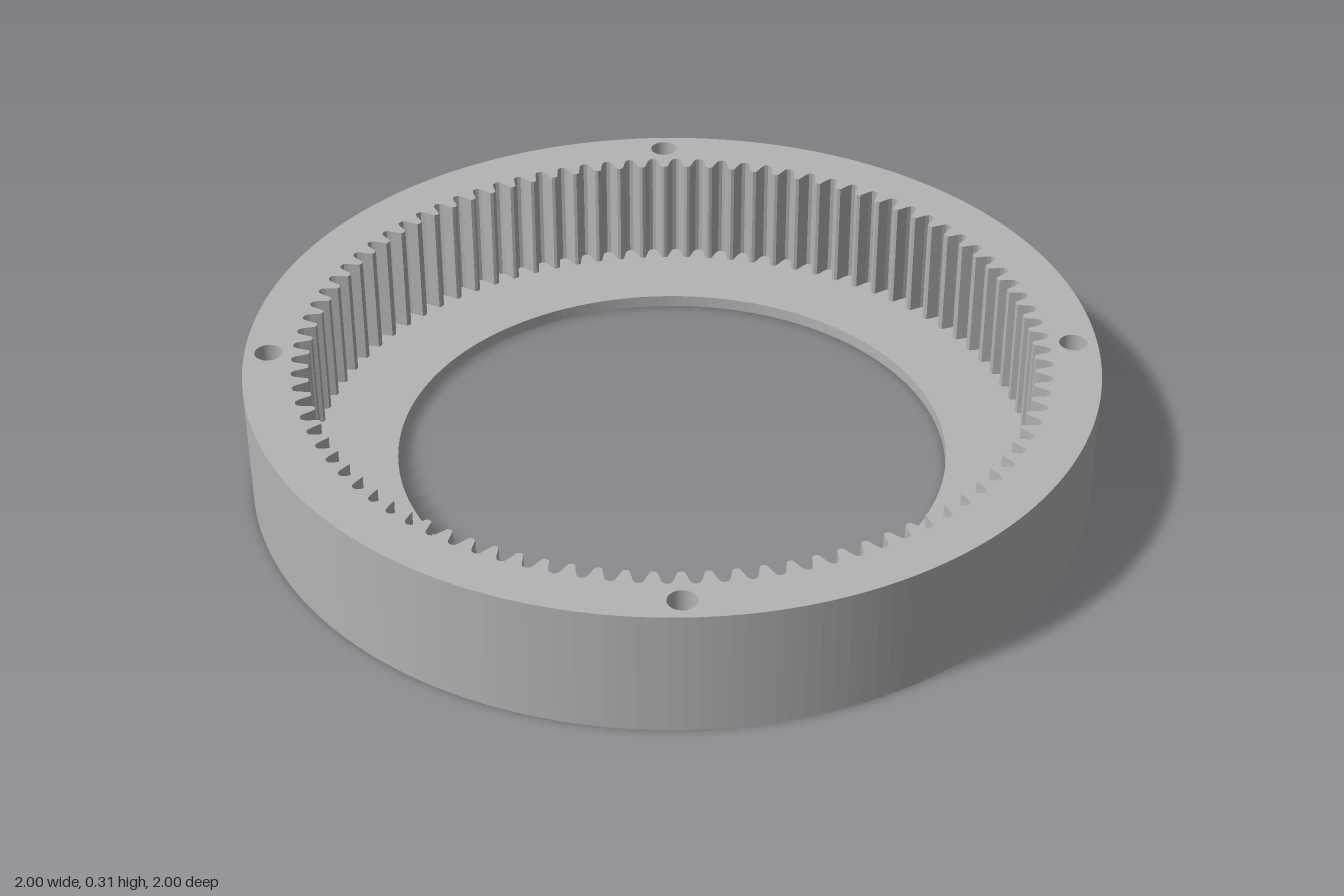
import * as THREE from 'three';

const HEIGHT = 0.305, FLOOR = 0.03;
const OUTER = 1, BORE = 0.655;
const TEETH = 92, TIP = 0.847, ROOT = 0.889;

// Closed circular path
function circle(PathType, x, y, r) {
  const p = new PathType();
  p.absarc(x, y, r, 0, Math.PI * 2, false);
  return p;
}

// Disc outline with the four bolt holes
function drilledDisc() {
  const shape = circle(THREE.Shape, 0, 0, OUTER);
  for (const sx of [-1, 1])
    for (const sy of [-1, 1])
      shape.holes.push(circle(THREE.Path, sx * 0.667, sy * 0.667, 0.033));
  return shape;
}

// Internal gear outline: one rounded tooth repeated around the ring
function toothPath() {
  const depth = ROOT - TIP;
  const profile = [ // fraction of pitch, fraction of depth from the tip
    [-0.5, 1], [-0.36, 0.93], [-0.28, 0.72], [-0.2, 0.36], [-0.13, 0.06],
    [0, 0], [0.13, 0.06], [0.2, 0.36], [0.28, 0.72], [0.36, 0.93],
  ];
  const points = [];
  for (let i = 0; i < TEETH; i++)
    for (const [t, d] of profile) {
      const a = ((i + 0.5 + t) / TEETH) * Math.PI * 2;
      const r = TIP + depth * d;
      points.push(new THREE.Vector2(Math.cos(a) * r, Math.sin(a) * r));
    }
  return new THREE.Path(points);
}

// Extrude a plan shape upward from a given height
function slab(name, shape, bottom, height, material) {
  const geometry = new THREE.ExtrudeGeometry(shape, {
    depth: height, bevelEnabled: false, curveSegments: 96,
  });
  geometry.rotateX(-Math.PI / 2);
  geometry.translate(0, bottom, 0);
  const mesh = new THREE.Mesh(geometry, material);
  mesh.name = name;
  return mesh;
}

export function createModel() {
  const model = new THREE.Group();
  model.name = 'ringGear';
  const steel = new THREE.MeshStandardMaterial({ color: 0xb4b4b4 });
  steel.name = 'grey steel';

  // Thin floor with the wide central bore
  const floor = drilledDisc();
  floor.holes.push(circle(THREE.Path, 0, 0, BORE));
  model.add(slab('floorPlate', floor, 0, FLOOR, steel));

  // Tall wall with inward-facing teeth
  const wall = drilledDisc();
  wall.holes.push(toothPath());
  model.add(slab('toothedWall', wall, FLOOR, HEIGHT - FLOOR, steel));

  return model;
}
